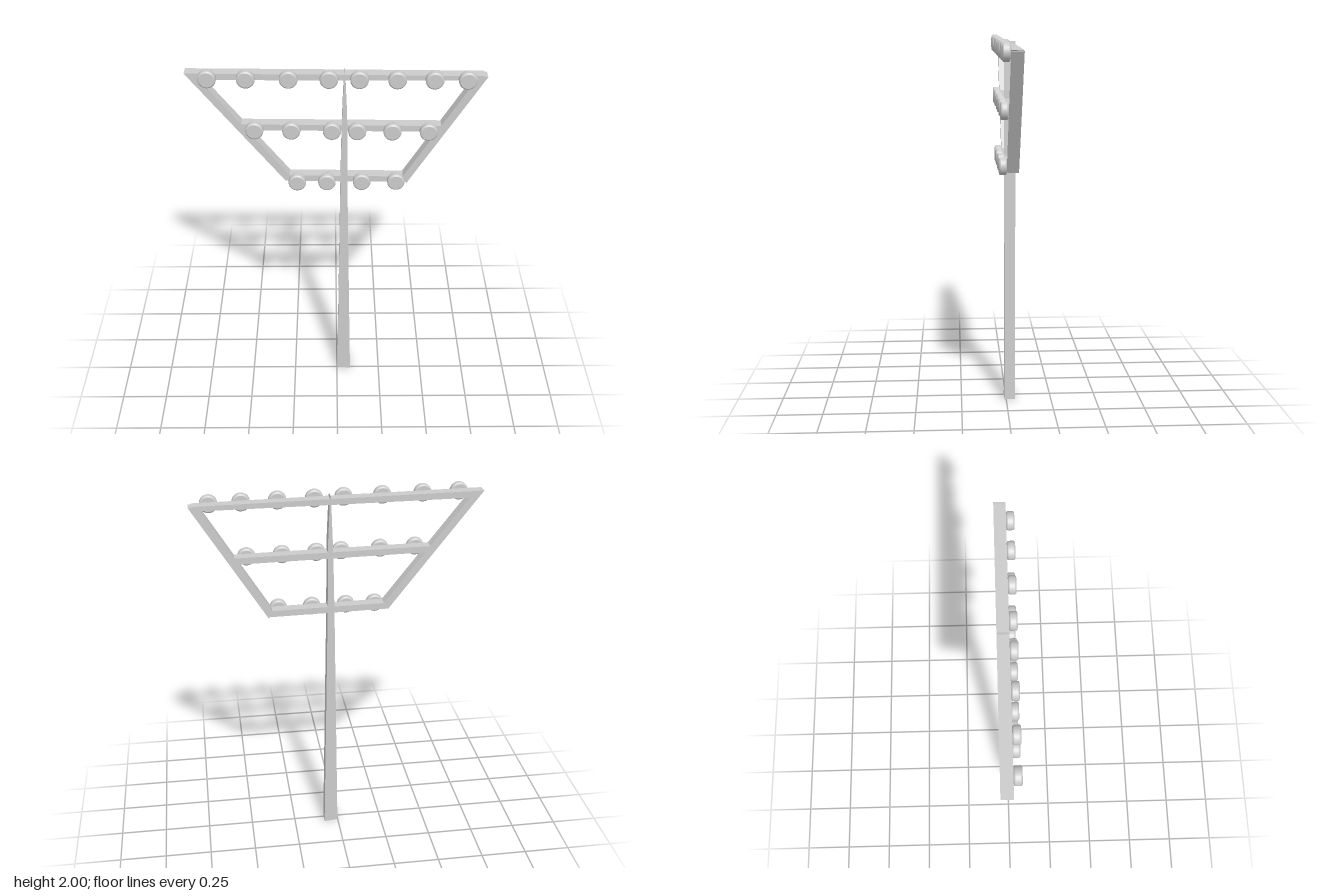
import * as THREE from 'three';

const BACK = -0.05, FACE = 0.01, FRONT = 0.05;
const metal = new THREE.MeshStandardMaterial({ color: 0xcccccc, flatShading: true });
const lampMetal = new THREE.MeshStandardMaterial({ color: 0xcccccc });

// Flat bar cut from an outline in the x-y plane
function bar(name, outline) {
  const shape = new THREE.Shape(outline.map(([x, y]) => new THREE.Vector2(x, y)));
  const geometry = new THREE.ExtrudeGeometry(shape, { depth: FACE - BACK, bevelEnabled: false });
  geometry.translate(0, 0, BACK);
  const mesh = new THREE.Mesh(geometry, metal);
  mesh.name = name;
  return mesh;
}

// Round lamp with softened rims, facing +z
function lampGeometry() {
  const r = 0.046, d = FRONT - FACE, b = 0.008;
  const profile = [[0, 0], [r - b, 0], [r - b, 0], [r - 0.002, 0.003], [r, b], [r, b],
    [r, d - b], [r, d - b], [r - 0.002, d - 0.003], [r - b, d], [r - b, d], [0, d]];
  const geometry = new THREE.LatheGeometry(profile.map(([x, y]) => new THREE.Vector2(x, y)), 28);
  return geometry.rotateX(Math.PI / 2).translate(0, 0, FACE);
}

export function createModel() {
  const model = new THREE.Group();
  model.name = 'floodlightMast';

  // Tapering pole
  model.add(bar('pole', [[0.003, 0.012], [0.079, 0.004], [0.055, 1.35], [0.052, 1.72],
    [0.042, 1.94], [0.038, 1.982], [0.034, 1.94], [0.024, 1.66], [0.018, 1.3]]));

  // Slightly uneven frame around the lamps
  model.add(
    bar('topRail', [[-0.757, 1.975], [-0.71, 1.94], [0.02, 1.935], [0.71, 1.933], [0.735, 1.957], [0.02, 1.966]]),
    bar('middleRail', [[-0.495, 1.688], [-0.475, 1.655], [0.52, 1.641], [0.535, 1.675]]),
    bar('bottomRail', [[-0.27, 1.381], [-0.275, 1.347], [0.36, 1.337], [0.36, 1.371]]),
    bar('rightStrut', [[-0.757, 1.975], [-0.275, 1.352], [-0.245, 1.378], [-0.7, 1.962]]),
    bar('leftStrut', [[0.75, 1.951], [0.705, 1.957], [0.342, 1.362], [0.368, 1.33]]),
  );

  // Three rows of lamps: x positions and the heights at both ends
  const rows = [
    { name: 'topLamp', y: [1.957, 1.945], xs: [-0.643, -0.452, -0.241, -0.04, 0.111, 0.299, 0.484, 0.648] },
    { name: 'middleLamp', y: [1.666, 1.654], xs: [-0.421, -0.233, -0.026, 0.103, 0.283, 0.468] },
    { name: 'bottomLamp', y: [1.354, 1.356], xs: [-0.209, -0.053, 0.13, 0.31] },
  ];
  const geometry = lampGeometry();
  for (const { name, y, xs } of rows) {
    xs.forEach((x, i) => {
      const lamp = new THREE.Mesh(geometry, lampMetal);
      lamp.name = name + (i + 1);
      lamp.position.set(x, THREE.MathUtils.lerp(y[0], y[1], i / (xs.length - 1)), 0);
      model.add(lamp);
    });
  }
  return model;
}
